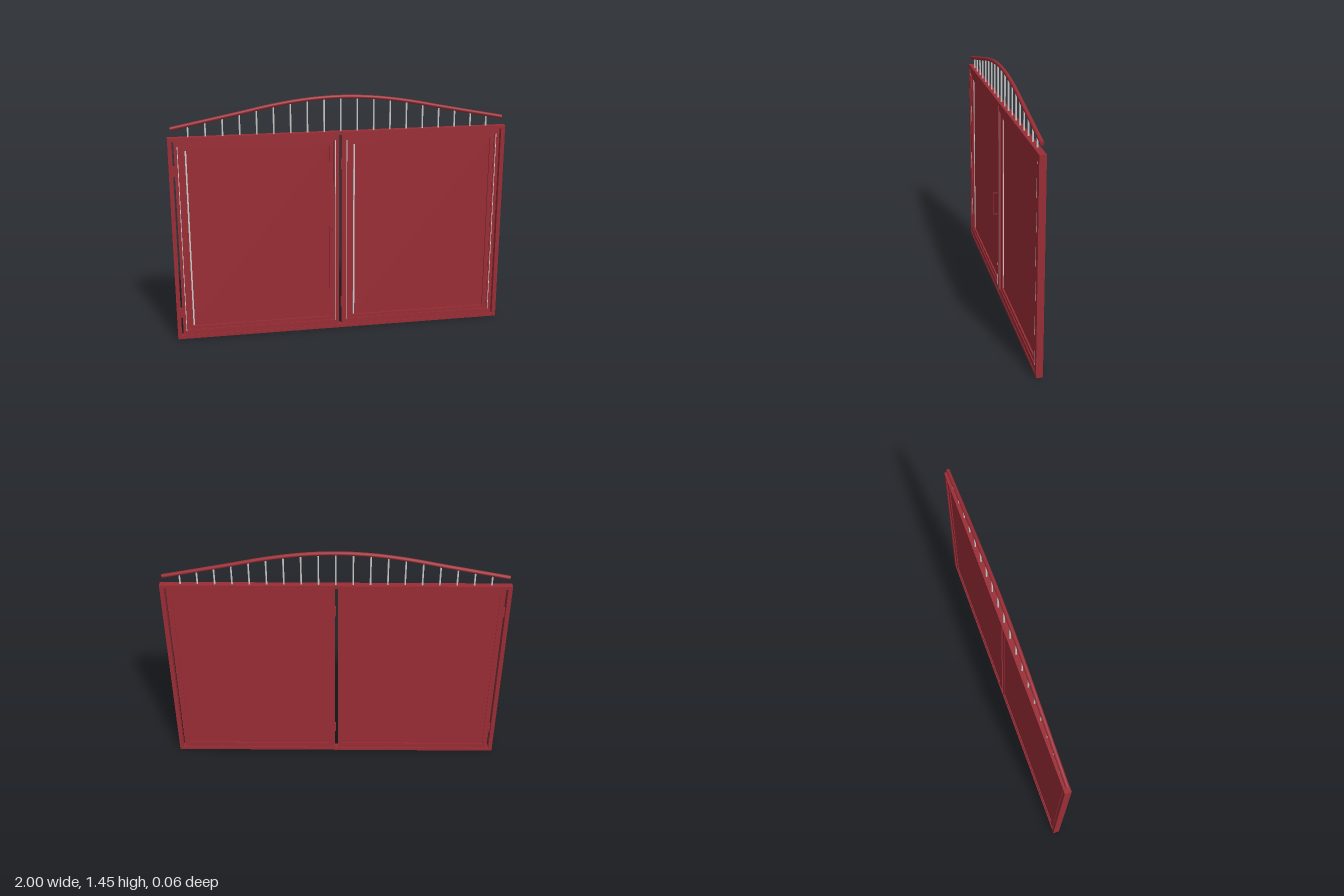
import * as THREE from 'three';

const red = new THREE.MeshStandardMaterial({ color: 0x9b2d36 });
const grey = new THREE.MeshStandardMaterial({ color: 0xcccccc });

function add(parent, name, geometry, material = red) {
  const mesh = new THREE.Mesh(geometry, material);
  mesh.name = name;
  parent.add(mesh);
  return mesh;
}

// Box given by its lower and upper limits on each axis
function box(parent, name, [x0, x1], [y0, y1], [z0, z1], material) {
  const mesh = add(parent, name, new THREE.BoxGeometry(x1 - x0, y1 - y0, z1 - z0), material);
  mesh.position.set((x0 + x1) / 2, (y0 + y1) / 2, (z0 + z1) / 2);
  return mesh;
}

// Rectangular ring with a horizontal border bx and vertical border by
function ring(parent, name, [x0, x1], [y0, y1], [z0, z1], bx, by) {
  const rect = (a, b, c, d) => [[a, c], [b, c], [b, d], [a, d]].map(p => new THREE.Vector2(...p));
  const shape = new THREE.Shape(rect(x0, x1, y0, y1));
  shape.holes.push(new THREE.Path(rect(x0 + bx, x1 - bx, y0 + by, y1 - by).reverse()));
  const geometry = new THREE.ExtrudeGeometry(shape, { depth: z1 - z0, bevelEnabled: false });
  geometry.translate(0, 0, z0);
  return add(parent, name, geometry);
}

// One leaf: frame, inner bead, sheet, light strips and two hinges on its -x side
function makeLeaf(name, x0, x1) {
  const leaf = new THREE.Group();
  leaf.name = name;
  ring(leaf, 'leafFrame', [x0, x1], [0.02, 1.22], [-0.024, 0.006], 0.03, 0.035);
  ring(leaf, 'panelBead', [x0 + 0.03, x1 - 0.03], [0.055, 1.185], [-0.017, 0.001], 0.025, 0.022);
  box(leaf, 'panelSheet', [x0 + 0.02, x1 - 0.02], [0.04, 1.2], [-0.019, -0.008]);
  box(leaf, 'panelStrip', [x0 + 0.061, x0 + 0.07], [0.08, 1.17], [-0.009, -0.004], grey);
  for (const x of [x0 + 0.02, x1 - 0.02])
    box(leaf, 'sealStrip', [x - 0.002, x + 0.002], [0.05, 1.19], [0, 0.0065], grey);
  for (const y of [0.14, 1.017])
    box(leaf, 'hinge', [x0 - 0.016, x0], [y, y + 0.06], [-0.005, 0.013]);
  return leaf;
}

export function createModel() {
  const gate = new THREE.Group();
  gate.name = 'gate';

  // Outer frame
  ring(gate, 'outerFrame', [-1, 1], [0, 1.24], [-0.029, 0.009], 0.024, 0.02);

  // Two leaves with narrow gaps at the sides and centre
  gate.add(makeLeaf('rightLeaf', -0.966, -0.014));
  gate.add(makeLeaf('leftLeaf', 0.014, 0.966));
  box(gate, 'centreStop', [0.005, 0.014], [0.02, 1.22], [-0.024, 0.004]);

  // Pull handle: a thin squared bracket
  const handle = new THREE.Group();
  handle.name = 'handle';
  gate.add(handle);
  box(handle, 'handleGrip', [-0.058, -0.052], [0.515, 0.657], [0.025, 0.029]);
  for (const y of [0.515, 0.653])
    box(handle, 'handleArm', [-0.058, -0.052], [y, y + 0.004], [-0.008, 0.025]);

  // Arched top rail
  const half = [[0.98, 1.29], [0.8, 1.325], [0.6, 1.364], [0.4, 1.404], [0.2, 1.432]];
  const points = [
    ...half.map(([x, y]) => new THREE.Vector3(-x, y, -0.01)),
    new THREE.Vector3(0, 1.442, -0.01),
    ...half.slice().reverse().map(([x, y]) => new THREE.Vector3(x, y, -0.01)),
  ];
  const curve = new THREE.CatmullRomCurve3(points);
  add(gate, 'archRail', new THREE.TubeGeometry(curve, 64, 0.0115, 12, false));
  for (const side of [-1, 1]) {
    const cap = add(gate, 'archCap', new THREE.CircleGeometry(0.0115, 12));
    const end = side < 0 ? 0 : 1;
    const out = curve.getTangent(end).multiplyScalar(side);
    cap.position.copy(curve.getPoint(end));
    cap.quaternion.setFromUnitVectors(new THREE.Vector3(0, 0, 1), out);
  }

  // Upright bars reaching from the frame to the arch
  const samples = curve.getPoints(400);
  for (let i = -9; i <= 9; i++) {
    const x = i * 0.098;
    const top = samples.reduce((a, b) => (Math.abs(b.x - x) < Math.abs(a.x - x) ? b : a)).y;
    const bar = add(gate, 'topBar', new THREE.CylinderGeometry(0.005, 0.005, top - 1.235, 10), grey);
    bar.position.set(x, (top + 1.235) / 2, -0.01);
  }
  return gate;
}
